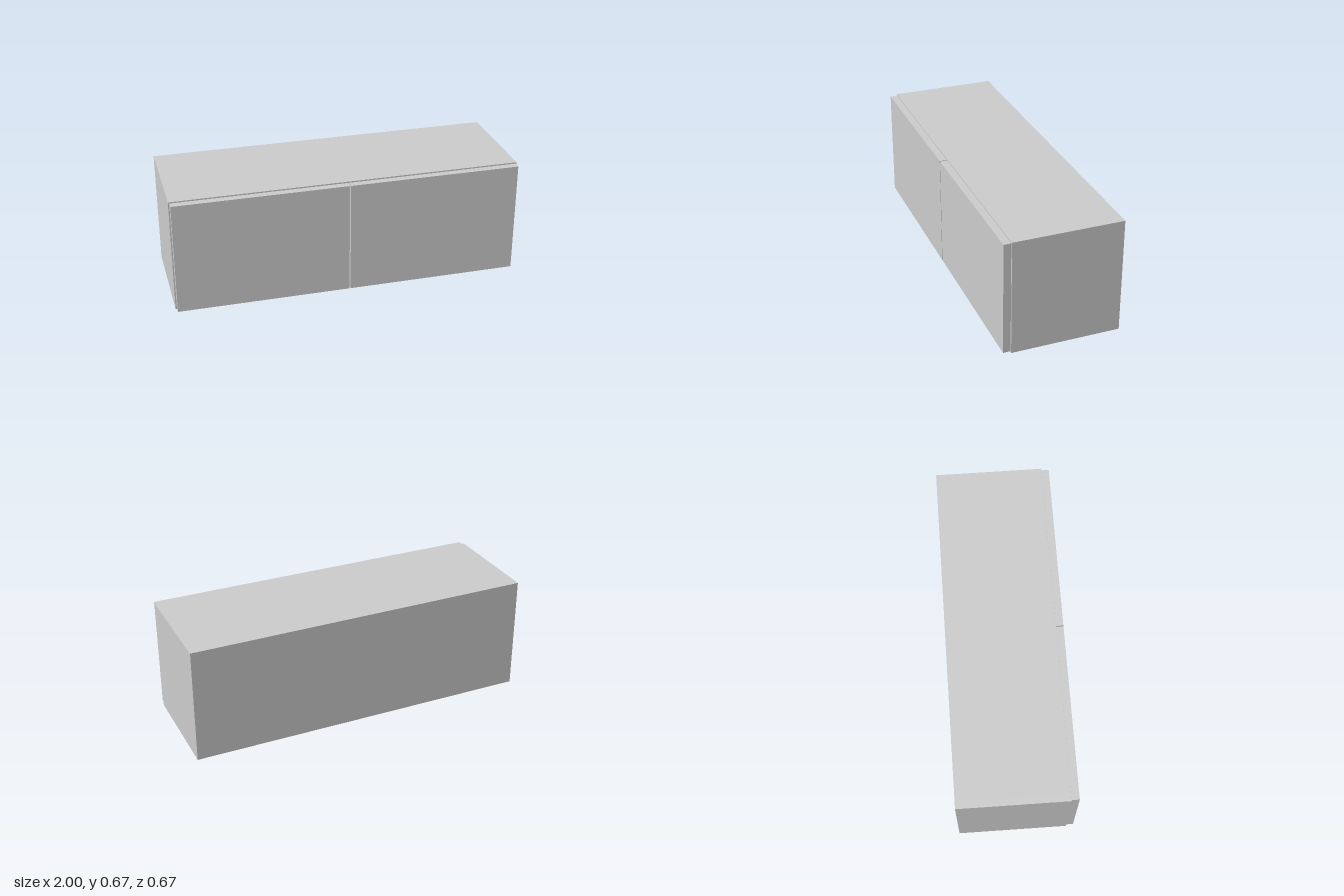
import * as THREE from 'three';

export function createModel() {
  const group = new THREE.Group();
  group.name = 'wallCabinet';
  const material = new THREE.MeshStandardMaterial({ color: 0xcccccc });

  // Adds a panel spanning the given min and max corners
  function panel(name, [x0, y0, z0], [x1, y1, z1]) {
    const mesh = new THREE.Mesh(new THREE.BoxGeometry(x1 - x0, y1 - y0, z1 - z0), material);
    mesh.position.set((x0 + x1) / 2, (y0 + y1) / 2, (z0 + z1) / 2);
    mesh.name = name;
    group.add(mesh);
  }

  const height = 0.667, back = -0.333, front = 0.29, doorFront = 0.333;
  const board = 0.038, sheet = 0.004, inner = 1 - board;

  // Carcass: top and bottom boards sit between the two sides
  panel('rightSide', [-1, 0, back + sheet], [-inner, height, front]);
  panel('leftSide', [inner, 0, back + sheet], [1, height, front]);
  panel('bottomBoard', [-inner, 0, back + sheet], [inner, board, front]);
  panel('topBoard', [-inner, height - board, back + sheet], [inner, height, front]);

  // Thin sheet closing the whole rear
  panel('backPanel', [-1, 0, back], [1, height, back + sheet]);

  // Pair of flat doors with a narrow gap between them
  panel('rightDoor', [-0.993, 0.007, front + 0.001], [-0.003, 0.66, doorFront]);
  panel('leftDoor', [0.003, 0.007, front + 0.001], [0.993, 0.66, doorFront]);

  return group;
}
